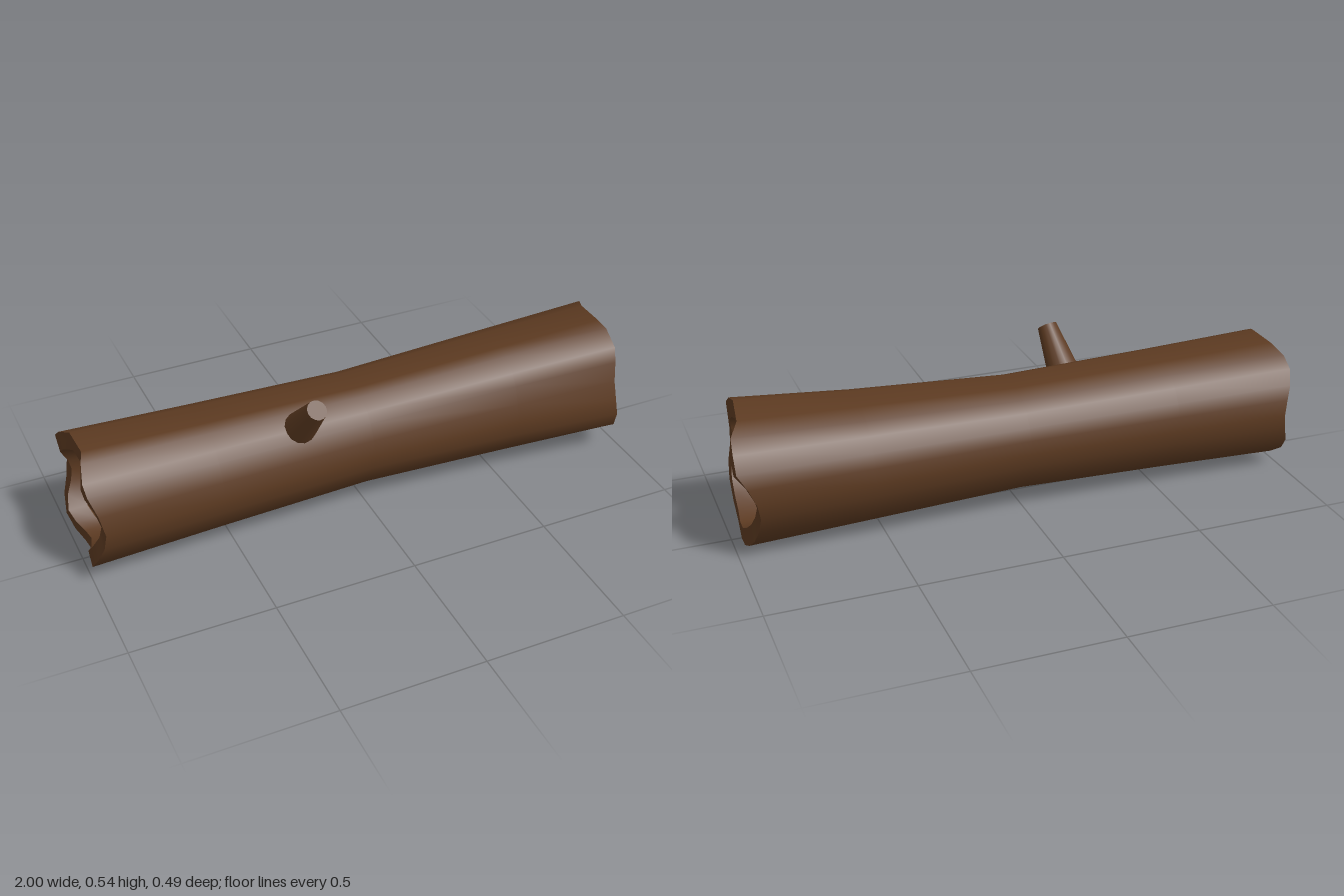
import * as THREE from 'three';

const bark = new THREE.MeshStandardMaterial({ color: 0x5c3a21 });
const wood = new THREE.MeshStandardMaterial({ color: 0x8f5d35 });

// Uneven rim of the left end: z, y, x, clockwise seen from +x
const rim = [
  [0.06, 0.483, 0.945], [-0.07, 0.468, 0.96], [-0.14, 0.443, 0.995], [-0.185, 0.405, 1],
  [-0.22, 0.35, 1], [-0.237, 0.3, 0.97], [-0.238, 0.24, 0.945], [-0.228, 0.185, 0.935],
  [-0.2, 0.125, 0.94], [-0.16, 0.07, 0.95], [-0.11, 0.03, 0.96], [-0.055, 0.004, 0.965],
  [0, 0.002, 0.965], [0.07, 0.028, 0.96], [0.15, 0.068, 0.958], [0.215, 0.12, 0.955],
  [0.235, 0.18, 0.95], [0.233, 0.24, 0.94], [0.21, 0.31, 0.94], [0.195, 0.38, 0.945],
  [0.175, 0.43, 0.95], [0.11, 0.473, 0.95],
].map(([z, y, x]) => new THREE.Vector3(x, y, z));

// Round section with the same number of points as the rim; x may depend on the angle
function roundRing(radius, x) {
  return rim.map((p) => {
    const a = Math.atan2(p.y - 0.24, p.z);
    return new THREE.Vector3(x(a), 0.243 + radius * Math.sin(a), -0.014 + radius * Math.cos(a));
  });
}

// Ring shrunk towards the log's axis and shifted along x
const inset = (ring, scale, dx) => ring.map((p) =>
  new THREE.Vector3(p.x + dx, 0.24 + (p.y - 0.24) * scale, p.z * scale));

// Smooth skin through a row of closed rings
function loft(name, rings, material) {
  const n = rim.length, index = [];
  for (let s = 0; s < rings.length - 1; s++) {
    for (let i = 0; i < n; i++) {
      const a = s * n + i, b = s * n + (i + 1) % n;
      index.push(a, a + n, b, b, a + n, b + n);
    }
  }
  const geometry = new THREE.BufferGeometry().setFromPoints(rings.flat());
  geometry.setIndex(index);
  geometry.computeVertexNormals();
  const mesh = new THREE.Mesh(geometry, material);
  mesh.name = name;
  return mesh;
}

// Rim face, shallow recess wall and pale wood core of one end
function logEnd(name, outer, side) {
  const group = new THREE.Group();
  group.name = name;
  const hole = inset(outer, 0.75, 0);
  const floor = inset(outer, 0.73, -0.065 * side);
  const centre = outer.map(() => new THREE.Vector3(0.89 * side, 0.24, 0));
  const order = (...rings) => (side > 0 ? rings : rings.reverse());
  group.add(
    loft('rimFace', order(outer, hole), bark),
    loft('recessWall', order(hole, floor), bark),
    loft('woodCore', order(floor, centre), wood),
  );
  return group;
}

export function createModel() {
  const model = new THREE.Group();
  model.name = 'hollowLog';

  // Trunk, narrower in the middle
  const rightRim = roundRing(0.229, (a) => -0.98 + 0.02 * Math.cos(4 * a));
  const middle = roundRing(0.199, () => 0);
  const flare = roundRing(0.211, () => 0.55).map((p, i) => {
    const q = p.clone().lerp(rim[i], 0.35);
    q.x = 0.55;
    return q;
  });
  model.add(loft('trunk', [rightRim, roundRing(0.214, () => -0.55), middle, flare, rim], bark));
  model.add(logEnd('leftEnd', rim, 1), logEnd('rightEnd', rightRim, -1));

  // Branch stub leaning forward from the top
  const base = new THREE.Vector3(-0.247, 0.37, 0.095);
  const tip = new THREE.Vector3(-0.225, 0.52, 0.215);
  const axis = tip.clone().sub(base);
  const stub = new THREE.Mesh(new THREE.CylinderGeometry(0.035, 0.06, axis.length(), 14), bark);
  stub.name = 'branchStub';
  stub.position.copy(base).add(tip).multiplyScalar(0.5);
  stub.quaternion.setFromUnitVectors(new THREE.Vector3(0, 1, 0), axis.normalize());
  model.add(stub);

  return model;
}
